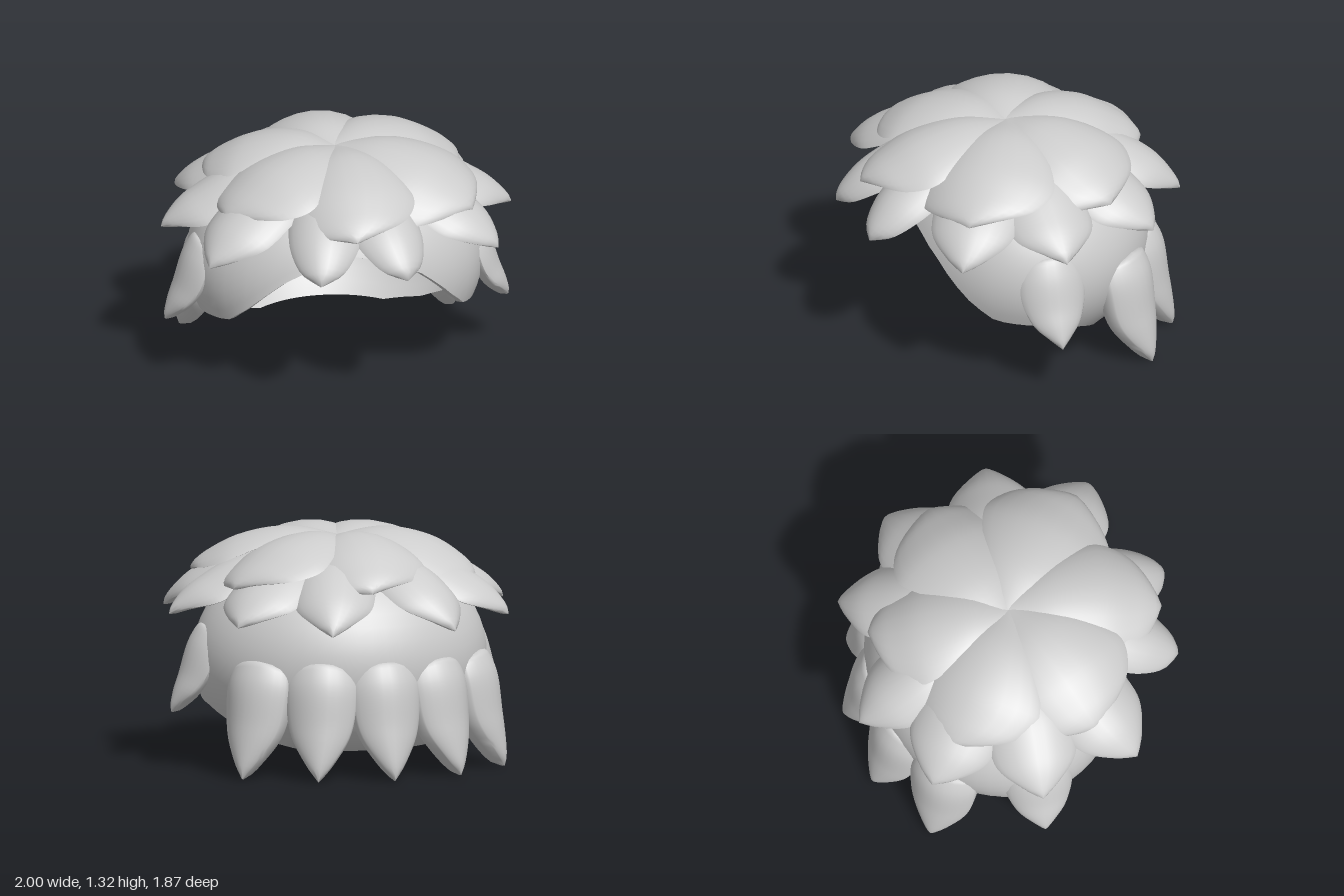
import * as THREE from 'three';
import { toCreasedNormals } from 'three/addons/utils/BufferGeometryUtils.js';

const V = (x, y, z) => new THREE.Vector3(x, y, z);

// Piecewise-linear lookup in a list of [key, value] pairs
function lookup(table, k) {
  for (let i = 1; i < table.length; i++) {
    const [k0, v0] = table[i - 1], [k1, v1] = table[i];
    if (k <= k1) return v0 + (v1 - v0) * (k - k0) / (k1 - k0);
  }
  return table[table.length - 1][1];
}

// Joins rows of points into a closed band
function bandIndex(rows, cols, flip) {
  const index = [];
  for (let i = 0; i < rows - 1; i++) {
    for (let j = 0; j < cols; j++) {
      const k = (j + 1) % cols;
      const a = i * cols + j, b = i * cols + k, c = a + cols, d = b + cols;
      if (flip) index.push(a, c, b, b, c, d);
      else index.push(a, b, c, b, d, c);
    }
  }
  return index;
}

function surface(points, index, crease) {
  const g = new THREE.BufferGeometry();
  g.setAttribute('position', new THREE.Float32BufferAttribute(points, 3));
  g.setIndex(index);
  return toCreasedNormals(g, crease);
}

// Lens-shaped lock of hair following a path of [radius, height] at a heading in degrees
function lockGeometry({ path, heading, width, outline, up, low, fullness = 1.4, tilt = 0, droop = 0 }) {
  const a = THREE.MathUtils.degToRad(heading);
  const out = V(Math.sin(a), 0, Math.cos(a)), side = V(Math.cos(a), 0, -Math.sin(a));
  const curve = new THREE.CatmullRomCurve3(path.map(([r, y]) => out.clone().multiplyScalar(r).setY(y)));
  const rows = 25, cols = 24, points = [];
  const shape = new THREE.SplineCurve(outline.map(([t, w]) => new THREE.Vector2(t, w)));
  const table = shape.getPoints(60).map(p => [p.x, p.y]);
  for (let i = 0; i < rows; i++) {
    const t = i / (rows - 1);
    const centre = curve.getPoint(t), dir = curve.getTangent(t);
    const T = side.clone().applyAxisAngle(dir, tilt), N = dir.clone().cross(T);
    const w = Math.max(0.004, lookup(table, t));
    for (let j = 0; j < cols; j++) {
      const f = j / cols * Math.PI * 2, c = Math.cos(f), s = Math.sin(f);
      const lift = s > 0 ? up * Math.pow(s, 1.4) : -low * Math.pow(-s, fullness);
      const p = centre.clone().addScaledVector(T, c * w * width / 2)
        .addScaledVector(N, lift * Math.sqrt(w) - droop * c * c * w * w);
      points.push(p.x, p.y, p.z);
    }
  }
  return surface(points, bandIndex(rows, cols, false), 0.9);
}

// Cap: a thick ellipsoid dome, cut high over the face and low at the nape
function capGeometry() {
  const rim = [[0, 0.85], [0.25, 0.81], [0.5, 0.7], [0.8, 0.5], [1.0, 0.4], [1.25, 0.38],
    [1.57, 0.35], [2.08, 0.18], [2.45, 0.125], [3.15, 0.125]];
  const cols = 64, steps = 20, cy = 0.6, ry = 0.66, rows = [], points = [];
  for (let i = 0; i <= steps; i++) rows.push([Math.max(0.002, i / steps), 1]);
  for (let i = steps; i >= 0; i--) rows.push([Math.max(0.002, i / steps), 0.95]);
  for (const [v, s] of rows) {
    for (let j = 0; j < cols; j++) {
      const f = j / cols * Math.PI * 2, c = Math.cos(f);
      const polar = v * Math.acos((lookup(rim, Math.min(f, Math.PI * 2 - f)) - cy) / ry);
      const r = Math.sin(polar) * s, h = Math.cos(polar);
      points.push(0.84 * r * Math.sin(f), cy + ry * h * (h > 0 ? s : 1), (c > 0 ? 0.66 : 0.81) * r * c);
    }
  }
  return surface(points, bandIndex(rows.length, cols, true), 0.8);
}

export function createModel() {
  const hair = new THREE.MeshStandardMaterial({ color: 0xcccccc });
  hair.name = 'hair grey';
  const model = new THREE.Group();
  model.name = 'hairpiece';
  const add = (name, geometry, parent = model) => {
    const m = new THREE.Mesh(geometry, hair);
    m.name = name;
    parent.add(m);
  };
  const layer = name => {
    const g = new THREE.Group();
    g.name = name;
    model.add(g);
    return g;
  };

  add('cap', capGeometry());

  // Crown: six broad locks overlapping like a pinwheel
  const crown = layer('crownLayer');
  for (const [heading, r, width] of [[-2, 0.87, 0.7], [54, 0.86, 0.78], [114, 0.82, 0.76],
    [174, 0.79, 0.7], [237, 0.79, 0.76], [299, 0.8, 0.8]]) {
    add('crownLock', lockGeometry({
      heading, width, up: 0.05, low: 0.04, tilt: 0.15, droop: 0.11,
      path: [[0, 1.25], [r * 0.3, 1.275], [r * 0.6, 1.225], [r * 0.83, 1.13], [r, 1.045]],
      outline: [[0, 0.25], [0.2, 0.62], [0.45, 0.97], [0.62, 1], [0.8, 0.74], [0.93, 0.32], [1, 0]],
    }), crown);
  }

  // Middle: ten pointed locks fanning out under the crown, the front pair blunter
  const middle = layer('middleLayer');
  for (const [angle, r, y, width, end] of [[15, 0.96, 0.82, 0.42, 0.55], [54, 1.02, 0.84, 0.5, 0.42],
    [88, 1, 0.87, 0.5, 0.38], [125, 0.99, 0.86, 0.52, 0.42], [158, 0.98, 0.83, 0.46, 0.4]]) {
    for (const heading of [angle, -angle]) {
      add('middleLock', lockGeometry({
        heading, width, up: 0.06, low: 0.05, droop: 0.06,
        path: [[0.3, 1.14], [r * 0.55, 1.13], [r * 0.8, 1.005], [r, y]],
        outline: [[0, 0.7], [0.25, 0.95], [0.5, 1], [0.72, 0.88], [0.9, end], [1, 0]],
      }), middle);
    }
  }

  // Nape: five long hanging locks whose full inner sides show inside the cap
  const nape = layer('napeLayer');
  for (const [heading, r] of [[180, 0.93], [153, 0.94], [-153, 0.94], [126, 0.97], [-126, 0.97]]) {
    add('napeLock', lockGeometry({
      heading, width: 0.4, up: 0.06, low: 0.18, fullness: 0.7, droop: 0.05,
      path: [[r - 0.17, 0.65], [r - 0.11, 0.52], [r - 0.07, 0.28], [r, 0]],
      outline: [[0, 0], [0.05, 0.72], [0.14, 0.93], [0.42, 1], [0.68, 0.86], [0.88, 0.4], [1, 0]],
    }), nape);
  }

  // Sides: one short lock over each ear
  const sides = layer('earLayer');
  for (const heading of [87, -87]) {
    add('earLock', lockGeometry({
      heading, width: 0.38, up: 0.06, low: 0.1, droop: 0.04,
      path: [[0.76, 0.8], [0.82, 0.68], [0.88, 0.5], [0.98, 0.31]],
      outline: [[0, 0], [0.05, 0.6], [0.18, 0.88], [0.5, 1], [0.75, 0.76], [0.9, 0.34], [1, 0]],
    }), sides);
  }
  return model;
}
